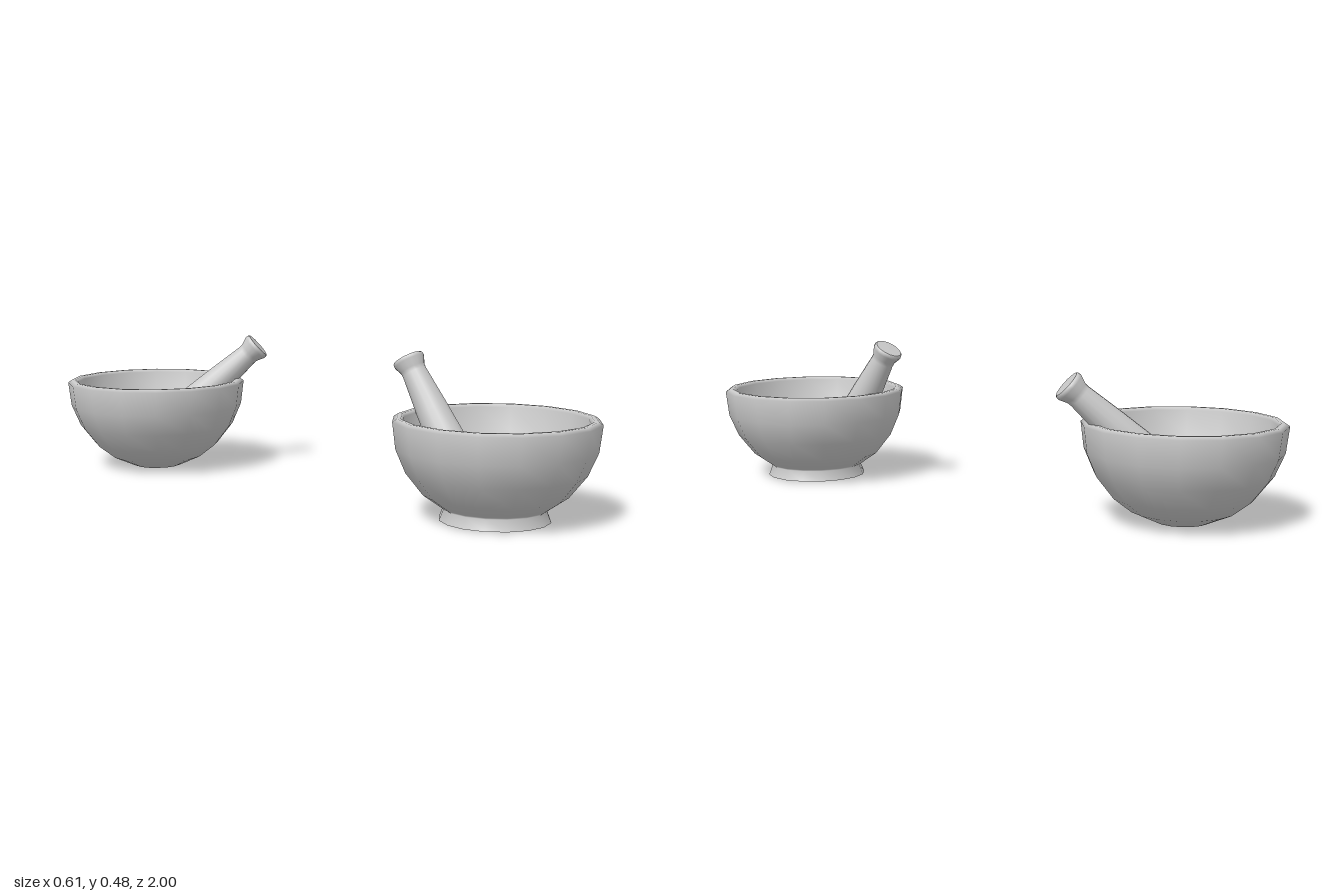
import * as THREE from 'three';

const material = new THREE.MeshStandardMaterial({ color: 0xcccccc });
const SIDES = 16;

// Turned part from [radius, height] pairs; a repeated pair makes a crisp edge
function turned(name, profile) {
  const points = profile.map(([r, y]) => new THREE.Vector2(r, y));
  const mesh = new THREE.Mesh(new THREE.LatheGeometry(points, SIDES), material);
  mesh.name = name;
  return mesh;
}

// Bowl wall above the base: outside going up, over the rim, down the inside
const wall = [
  [0.213, 0.079], [0.265, 0.145], [0.295, 0.215], [0.305, 0.295],
  [0.292, 0.304], [0.28, 0.304], [0.273, 0.295],
  [0.265, 0.22], [0.238, 0.158], [0.19, 0.1], [0.14, 0.06], [0.075, 0.035], [0, 0.03],
];

// Plain rounded base
const roundBase = [[0, 0], [0.08, 0.002], [0.157, 0.036]];

// Flared foot with a hollow underside
const footedBase = [
  [0, 0.025], [0.125, 0.022], [0.148, 0.003], [0.165, 0.003], [0.165, 0.003],
  [0.152, 0.036], [0.16, 0.042],
];

// Pestle: rounded grinding end centred on the origin, handle along +y
const pestleProfile = [
  [0, -0.061], [0.024, -0.057], [0.044, -0.044], [0.058, -0.024], [0.063, 0],
  [0.063, 0.05], [0.05, 0.22], [0.038, 0.35], [0.039, 0.363], [0.049, 0.387],
  [0.048, 0.396], [0.044, 0.4], [0.044, 0.4], [0, 0.401],
];

function pestle(end, tip) {
  const mesh = turned('pestle', pestleProfile);
  const from = new THREE.Vector3(...end);
  const axis = new THREE.Vector3(...tip).sub(from);
  mesh.scale.y = axis.length() / 0.4;
  mesh.quaternion.setFromUnitVectors(new THREE.Vector3(0, 1, 0), axis.normalize());
  mesh.position.copy(from);
  return mesh;
}

function mortar(name, z, base, end, tip) {
  const group = new THREE.Group();
  group.name = name;
  group.position.z = z;
  group.add(turned('bowl', [...base, ...wall]), pestle(end, tip));
  return group;
}

export function createModel() {
  const model = new THREE.Group();
  model.name = 'mortarsAndPestles';
  model.add(
    mortar('footedMortar', 0.695, footedBase, [0, 0.115, -0.108], [0, 0.455, -0.317]),
    mortar('roundMortar', -0.695, roundBase, [0.058, 0.14, 0.01], [0.243, 0.42, 0.26]),
  );
  return model;
}
